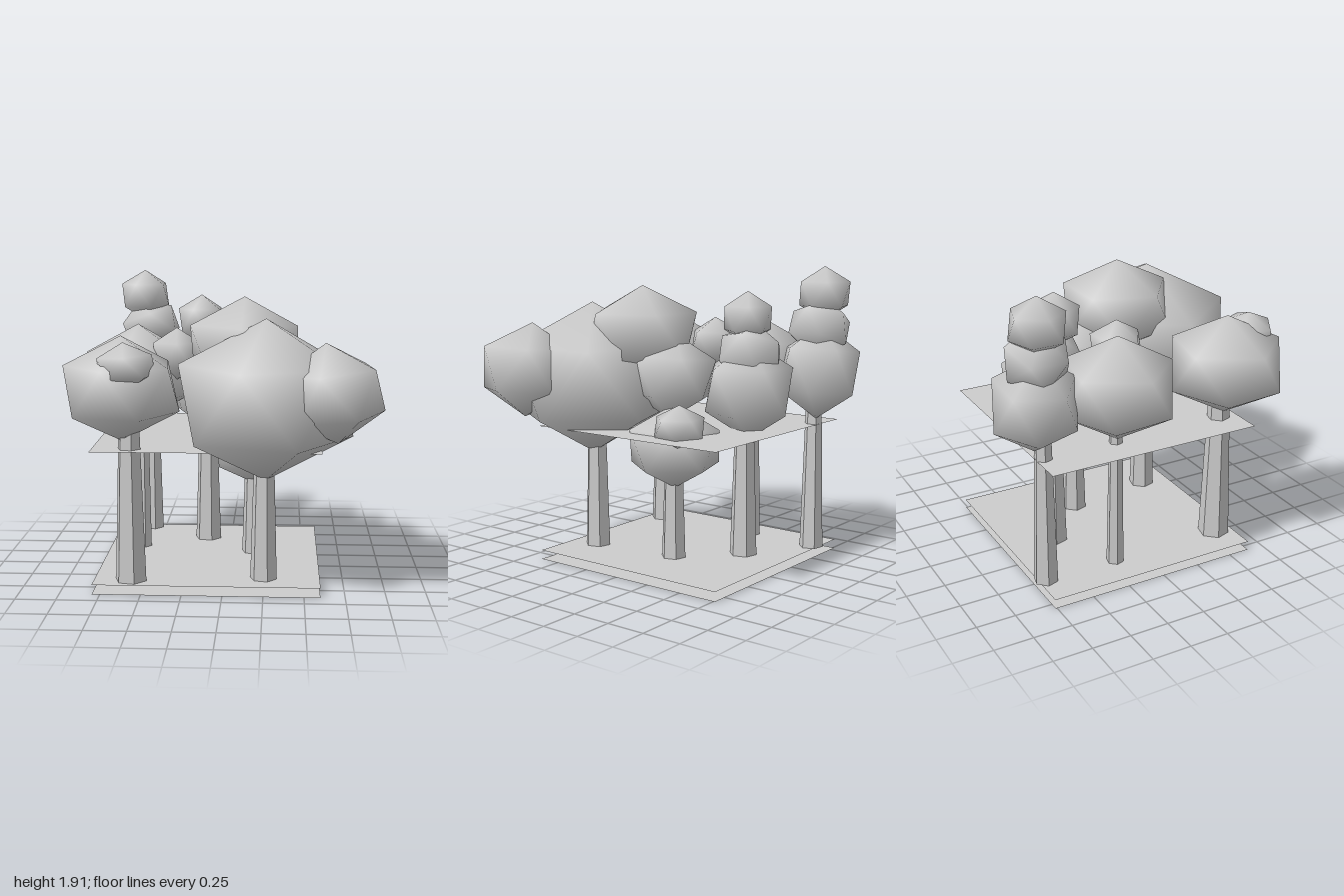
import * as THREE from 'three';
import { mergeVertices } from 'three/addons/utils/BufferGeometryUtils.js';

const grey = new THREE.MeshStandardMaterial({ color: 0xcccccc });
const greyFlat = grey.clone();
greyFlat.flatShading = true;
greyFlat.side = THREE.DoubleSide;
grey.name = 'plain grey';
greyFlat.name = 'plain grey flat';

// Twelve-point ball standing on a vertex, squashed, with smooth normals
function blobGeometry(rx, ry, rz, spin, tilt) {
  let g = new THREE.IcosahedronGeometry(1, 0);
  g.deleteAttribute('uv');
  g.deleteAttribute('normal');
  g = mergeVertices(g, 1e-3);
  g.rotateZ(Math.atan(2 / (1 + Math.sqrt(5))));
  g.rotateY(spin).rotateZ(tilt);
  g.scale(rx, ry, rz);
  g.computeVertexNormals();
  return g;
}

// trunk: [x, z, bottom radius, top radius, top y]
// blobs: [x, y, z, width radius, height radius, spin, tilt]
const trees = [
  { name: 'frontRightTree', trunk: [-0.57, 0.52, 0.1, 0.065, 1.1], blobs: [
    [-0.61, 1.26, 0.53, 0.39, 0.32, 0.1, 0],
    [-0.555, 1.42, 0.71, 0.19, 0.14, 0.4, 0.1]] },
  { name: 'bigTree', trunk: [0.25, 0.45, 0.085, 0.062, 0.9], blobs: [
    [0.26, 1.185, 0.47, 0.595, 0.495, 0.05, 0],
    [0.65, 1.26, 0.67, 0.335, 0.3, 0.1, 0.12],
    [0.12, 1.48, 0.165, 0.39, 0.31, 0.3, 0],
    [0.12, 1.22, -0.08, 0.3, 0.27, 0.2, 0.1]] },
  { name: 'smallTree', trunk: [0.175, -0.13, 0.08, 0.06, 0.7], blobs: [
    [0.19, 0.79, -0.15, 0.33, 0.27, 0, 0],
    [0.34, 0.94, -0.3, 0.175, 0.145, 0.5, 0]] },
  { name: 'middleStackTree', trunk: [-0.15, -0.45, 0.09, 0.06, 1.0], blobs: [
    [-0.15, 1.14, -0.48, 0.31, 0.32, 0.3, 0],
    [-0.16, 1.36, -0.48, 0.23, 0.2, 0.8, 0.4],
    [-0.19, 1.59, -0.44, 0.175, 0.17, 0, 0]] },
  { name: 'backStackTree', trunk: [-0.57, -0.71, 0.078, 0.05, 1.1], blobs: [
    [-0.56, 1.24, -0.75, 0.285, 0.31, 0.3, 0.1],
    [-0.57, 1.52, -0.74, 0.22, 0.19, 0.6, 0.4],
    [-0.61, 1.735, -0.75, 0.185, 0.175, 0, 0]] },
  { name: 'sideTree', trunk: [-0.58, -0.23, 0.055, 0.04, 1.1], blobs: [
    [-0.6, 1.25, -0.23, 0.38, 0.33, 0.1, 0],
    [-0.33, 1.4, -0.09, 0.18, 0.17, 0.4, 0]] },
];
const groundY = 0.06;

export function createModel() {
  const model = new THREE.Group();
  model.name = 'grove';

  // Three thin square sheets
  [['baseSheet', 0], ['groundSheet', groundY], ['upperSheet', 0.89]].forEach(([name, y]) => {
    const sheet = new THREE.Mesh(new THREE.PlaneGeometry(1.4, 1.4).rotateX(-Math.PI / 2), greyFlat);
    sheet.position.set(-0.1, y, -0.06);
    sheet.name = name;
    model.add(sheet);
  });

  // Trees: a tapered six-sided trunk carrying overlapping blobs of leaves
  for (const { name, trunk, blobs } of trees) {
    const tree = new THREE.Group();
    tree.name = name;
    const [tx, tz, rBottom, rTop, top] = trunk;
    const h = top - groundY;
    const stem = new THREE.Mesh(new THREE.CylinderGeometry(rTop, rBottom, h, 6), greyFlat);
    stem.position.set(tx, groundY + h / 2, tz);
    stem.rotation.y = 0.3;
    stem.name = 'trunk';
    tree.add(stem);
    blobs.forEach(([x, y, z, r, ry, spin, tilt], i) => {
      const leaf = new THREE.Mesh(blobGeometry(r, ry, r, spin, tilt), grey);
      leaf.position.set(x, y, z);
      leaf.name = `foliage${i + 1}`;
      tree.add(leaf);
    });
    model.add(tree);
  }
  return model;
}
